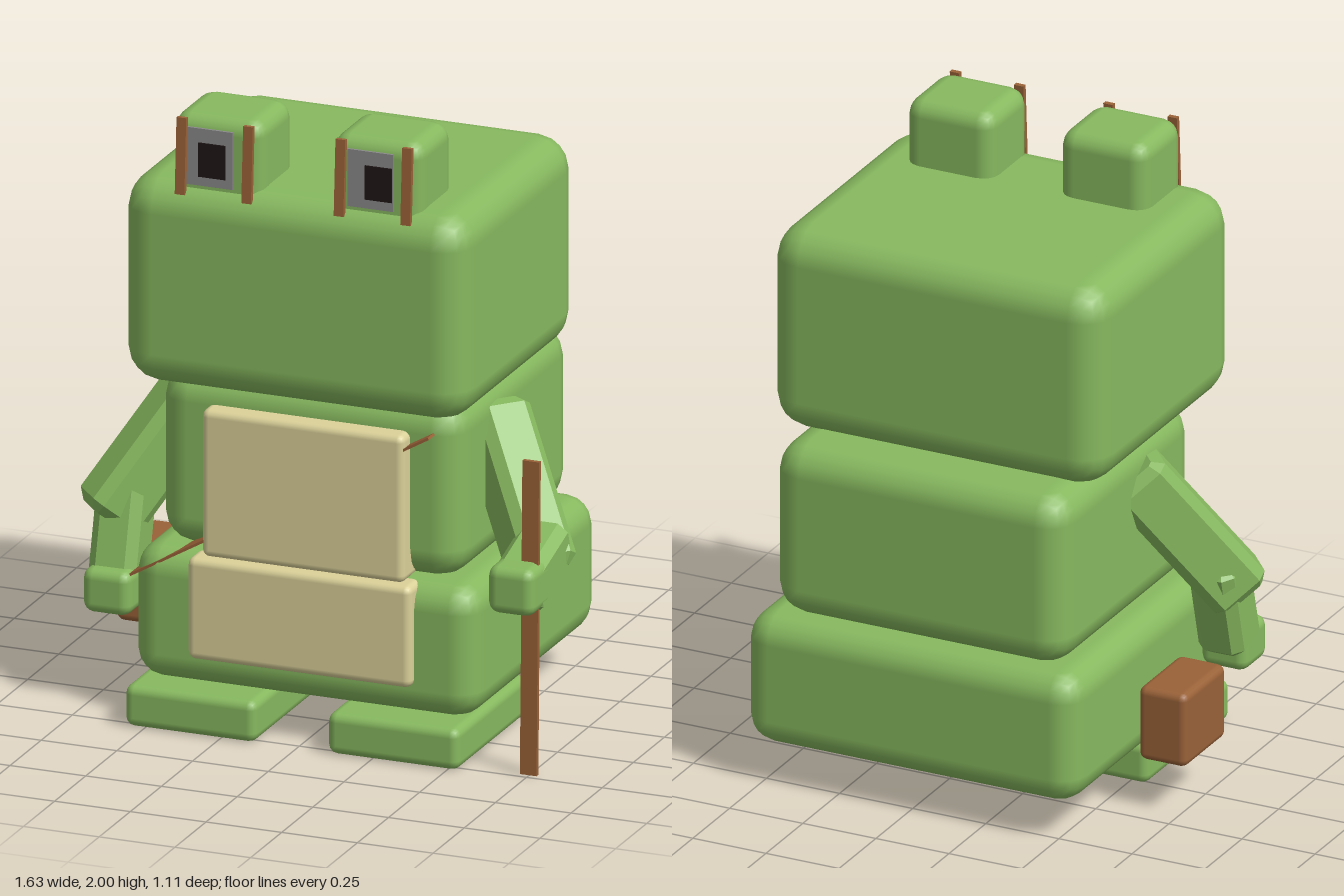
import * as THREE from 'three';
import { RoundedBoxGeometry } from 'three/addons/geometries/RoundedBoxGeometry.js';

const mat = (name, color) => {
  const m = new THREE.MeshStandardMaterial({ color });
  m.name = name;
  return m;
};

export function createModel() {
  const green = mat('skinGreen', 0x87b95f);
  const tan = mat('bellyTan', 0xdbd199);
  const brown = mat('woodBrown', 0x9a6238);
  const grey = mat('eyeGrey', 0x8c8a8a);
  const black = mat('pupilBlack', 0x1e1616);

  const group = new THREE.Group();
  const add = (name, geometry, material, parent = group) => {
    const mesh = new THREE.Mesh(geometry, material);
    mesh.name = name;
    parent.add(mesh);
    return mesh;
  };

  // Box given by its x, y and z ranges, with rounded edges if r > 0
  const block = (name, material, [x0, x1], [y0, y1], [z0, z1], r = 0, parent = group) => {
    const size = [x1 - x0, y1 - y0, z1 - z0];
    const geometry = r ? new RoundedBoxGeometry(...size, 2, r) : new THREE.BoxGeometry(...size);
    const mesh = add(name, geometry, material, parent);
    mesh.position.set((x0 + x1) / 2, (y0 + y1) / 2, (z0 + z1) / 2);
    return mesh;
  };

  // Faceted limb between two points, with eight chamfered sides and wedge ends
  const limb = (name, a, b, width, depth, parent) => {
    const from = new THREE.Vector3(...a), to = new THREE.Vector3(...b);
    const w = width / 2, d = depth / 2, c = 0.03;
    const shape = new THREE.Shape([
      [-w + c, -d], [w - c, -d], [w, -d + c], [w, d - c],
      [w - c, d], [-w + c, d], [-w, d - c], [-w, -d + c],
    ].map(([x, y]) => new THREE.Vector2(x, y)));
    const length = from.distanceTo(to);
    const geometry = new THREE.ExtrudeGeometry(shape, {
      depth: length - 0.06, bevelEnabled: true, bevelSegments: 1,
      bevelThickness: 0.03, bevelSize: 0.03, bevelOffset: -0.03,
    });
    geometry.translate(0, 0, 0.03);
    const mesh = add(name, geometry, green, parent);
    mesh.position.copy(from);
    mesh.lookAt(to);
    return mesh;
  };

  // Stacked body
  block('head', green, [-0.58, 0.56], [1.11, 1.785], [-0.39, 0.55], 0.11);
  block('torso', green, [-0.515, 0.49], [0.55, 1.125], [-0.505, 0.4], 0.1);
  block('hips', green, [-0.58, 0.56], [0.125, 0.56], [-0.555, 0.455], 0.09);

  // Belly plates
  block('upperBelly', tan, [-0.345, 0.325], [0.55, 1.03], [0.33, 0.455], 0.025);
  block('lowerBelly', tan, [-0.38, 0.36], [0.225, 0.555], [0.38, 0.485], 0.025);

  // Thin strap, mostly sunk behind the belly plates
  const strap = block('strap', brown, [-0.66, 0.48], [0.741, 0.749], [0.36, 0.445]);
  strap.rotation.z = Math.atan2(0.57, 0.98);

  // Feet
  block('rightFoot', green, [-0.565, -0.13], [0, 0.135], [-0.03, 0.54], 0.03);
  block('leftFoot', green, [0.105, 0.54], [0, 0.135], [-0.03, 0.54], 0.03);

  // Eyes: the grey plate sits towards the left or right inside its two bars
  const eye = (name, x, plate, pupil) => {
    const g = new THREE.Group();
    g.name = name;
    g.position.x = x;
    group.add(g);
    block('eyeBump', green, [-0.15, 0.15], [1.7, 2], [0.235, 0.503], 0.055, g);
    block('eyePlate', grey, plate, [1.775, 1.96], [0.5, 0.508], 0, g);
    block('pupil', black, pupil, [1.805, 1.915], [0.507, 0.513], 0, g);
    for (const s of [-1, 1]) {
      const bar = block('eyeBar', brown, [s * 0.11 - 0.016, s * 0.11 + 0.016], [1.745, 1.99], [0.509, 0.524], 0, g);
      bar.rotation.x = -0.06;
    }
  };
  eye('rightEye', -0.273, [-0.1, 0.055], [-0.057, 0.033]);
  eye('leftEye', 0.252, [-0.09, 0.06], [-0.032, 0.058]);

  // Arms: upper arm, forearm and hand
  const arm = (name, shoulder, elbow, foreStart, wrist, hand) => {
    const g = new THREE.Group();
    g.name = name;
    group.add(g);
    limb('upperArm', shoulder, elbow, 0.18, 0.2, g);
    limb('forearm', foreStart, wrist, 0.155, 0.17, g);
    block('hand', green, ...hand, 0.035, g);
  };
  arm('rightArm', [-0.47, 1.01, 0.04], [-0.735, 0.57, 0.27], [-0.685, 0.7, 0.21], [-0.683, 0.37, 0.3],
    [[-0.76, -0.6], [0.3, 0.445], [0.25, 0.41]]);
  arm('leftArm', [0.45, 1.01, 0.04], [0.72, 0.58, 0.28], [0.715, 0.68, 0.22], [0.71, 0.585, 0.5],
    [[0.635, 0.79], [0.53, 0.685], [0.39, 0.548]]);

  // Staff held in the left hand, leaning slightly
  const staff = block('staff', brown, [0.72, 0.775], [0, 1.01], [0.455, 0.47]);
  staff.rotation.x = -0.02;

  // Bag at the right hand
  block('bag', brown, [-0.78, -0.615], [0.165, 0.41], [-0.195, 0.085], 0.025);

  return group;
}
